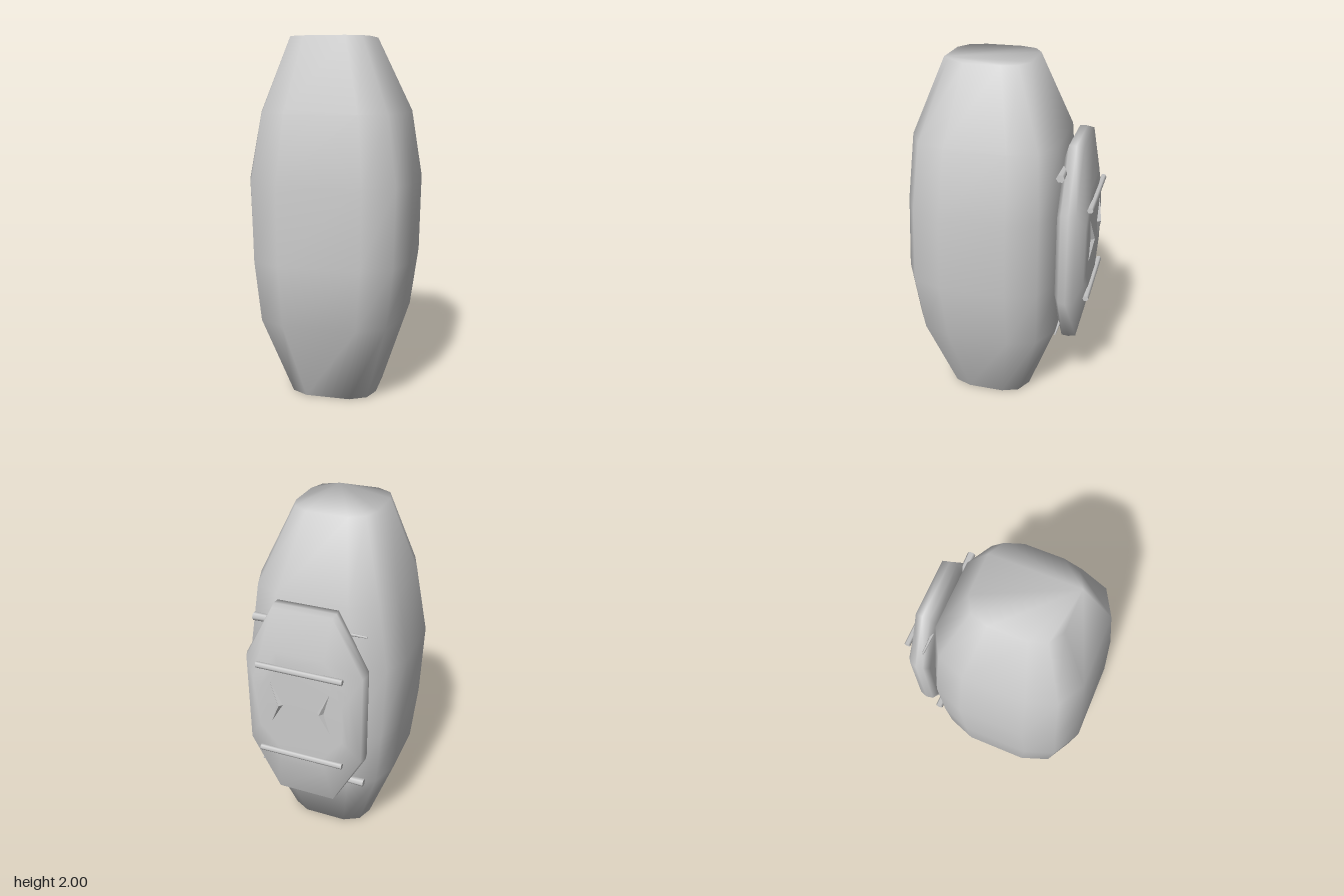
import * as THREE from 'three';

const material = new THREE.MeshStandardMaterial({ color: 0xcccccc, side: THREE.DoubleSide });

// Smooth closed skin through equal-length loops of [x, y, z], capped at both ends
function loft(loops) {
  const n = loops[0].length, last = (loops.length - 1) * n, index = [];
  for (let j = 0; j < loops.length - 1; j++) {
    for (let i = 0; i < n; i++) {
      const a = j * n + i, b = j * n + (i + 1) % n;
      index.push(a, b, b + n, a, b + n, a + n);
    }
  }
  for (let i = 1; i < n - 1; i++) {
    index.push(0, i + 1, i, last, last + i, last + i + 1);
  }
  const geometry = new THREE.BufferGeometry();
  geometry.setAttribute('position', new THREE.Float32BufferAttribute(loops.flat(2), 3));
  geometry.setIndex(index);
  geometry.computeVertexNormals();
  return geometry;
}

function add(group, name, geometry) {
  const mesh = new THREE.Mesh(geometry, material);
  mesh.name = name;
  group.add(mesh);
  return mesh;
}

// Barrel-like body: a chamfered rectangle scaled to fit each level
function bodyGeometry() {
  const outline = [
    [0.5, 1], [0.86, 0.8], [1, 0.42], [1, -0.42], [0.86, -0.8], [0.5, -1],
    [-0.5, -1], [-0.86, -0.8], [-1, -0.42], [-1, 0.42], [-0.86, 0.8], [-0.5, 1],
  ];
  // y, x min, x max, z min, z max
  const levels = [
    [0, -0.25, 0.25, -0.17, 0.32],
    [0.46, -0.41, 0.40, -0.335, 0.49],
    [0.8, -0.44, 0.447, -0.35, 0.53],
    [1.23, -0.458, 0.455, -0.35, 0.51],
    [1.6, -0.39, 0.395, -0.325, 0.475],
    [2, -0.24, 0.21, -0.15, 0.32],
  ];
  return loft(levels.map(([y, x0, x1, z0, z1]) => outline.map(([u, v]) => [
    (x0 + x1) / 2 + u * (x1 - x0) / 2, y, (z0 + z1) / 2 + v * (z1 - z0) / 2,
  ])));
}

// Flat octagonal pack, bevelled toward its outer face
function packGeometry() {
  const octagon = [
    [0.17, 0.59], [0.34, 0.27], [0.34, -0.27], [0.17, -0.59],
    [-0.17, -0.59], [-0.34, -0.27], [-0.34, 0.27], [-0.17, 0.59],
  ];
  // z, x scale, y scale
  const layers = [[-0.345, 0.9, 0.85], [-0.37, 0.98, 1], [-0.41, 1, 1], [-0.45, 0.96, 0.99], [-0.495, 0.8, 0.6], [-0.503, 0.7, 0.45]];
  return loft(layers.map(([z, sx, sy]) => octagon.map(([x, y]) => [x * sx, 1.01 + y * sy, z])));
}

// Thin pointed chevron with a raised ridge at its bend
function chevronGeometry() {
  const top = [0.18, 1.21, -0.498], bottom = [0.18, 0.9, -0.498];
  const outer = [0.095, 1.05, -0.498], inner = [0.137, 1.05, -0.498], ridge = [0.115, 1.05, -0.525];
  const faces = [[top, ridge, outer], [top, inner, ridge], [bottom, outer, ridge], [bottom, ridge, inner]];
  const geometry = new THREE.BufferGeometry();
  geometry.setAttribute('position', new THREE.Float32BufferAttribute(faces.flat(2).reverse().map((_, i) => {
    // reverse the corner order of each face so that it faces outward
    const f = faces[Math.floor(i / 9)], corner = 2 - Math.floor((i % 9) / 3);
    return f[corner][i % 3];
  }), 3));
  geometry.computeVertexNormals();
  return geometry;
}

// Rod along x, with its own radius at the right and left ends
function rodGeometry(rightRadius, leftRadius, length, sides) {
  return new THREE.CylinderGeometry(rightRadius, leftRadius, length, sides).rotateZ(Math.PI / 2);
}

export function createModel() {
  const model = new THREE.Group();
  model.name = 'bodyWithBackPack';

  add(model, 'body', bodyGeometry());
  add(model, 'pack', packGeometry());

  // Rods across the outer face of the pack
  for (const [name, y] of [['upperPackRod', 1.275], ['lowerPackRod', 0.735]]) {
    add(model, name, rodGeometry(0.017, 0.017, 0.48, 6)).position.set(0, y, -0.508);
  }

  // Mounting rods between body and pack, tapering in opposite directions
  add(model, 'upperMountRod', rodGeometry(0.005, 0.023, 0.63, 6)).position.set(0, 1.47, -0.357);
  add(model, 'lowerMountRod', rodGeometry(0.023, 0.005, 0.63, 6)).position.set(0, 0.52, -0.357);

  // Mirrored chevrons pointing to the middle
  const chevron = chevronGeometry();
  add(model, 'leftChevron', chevron);
  add(model, 'rightChevron', chevron).scale.x = -1;

  return model;
}
